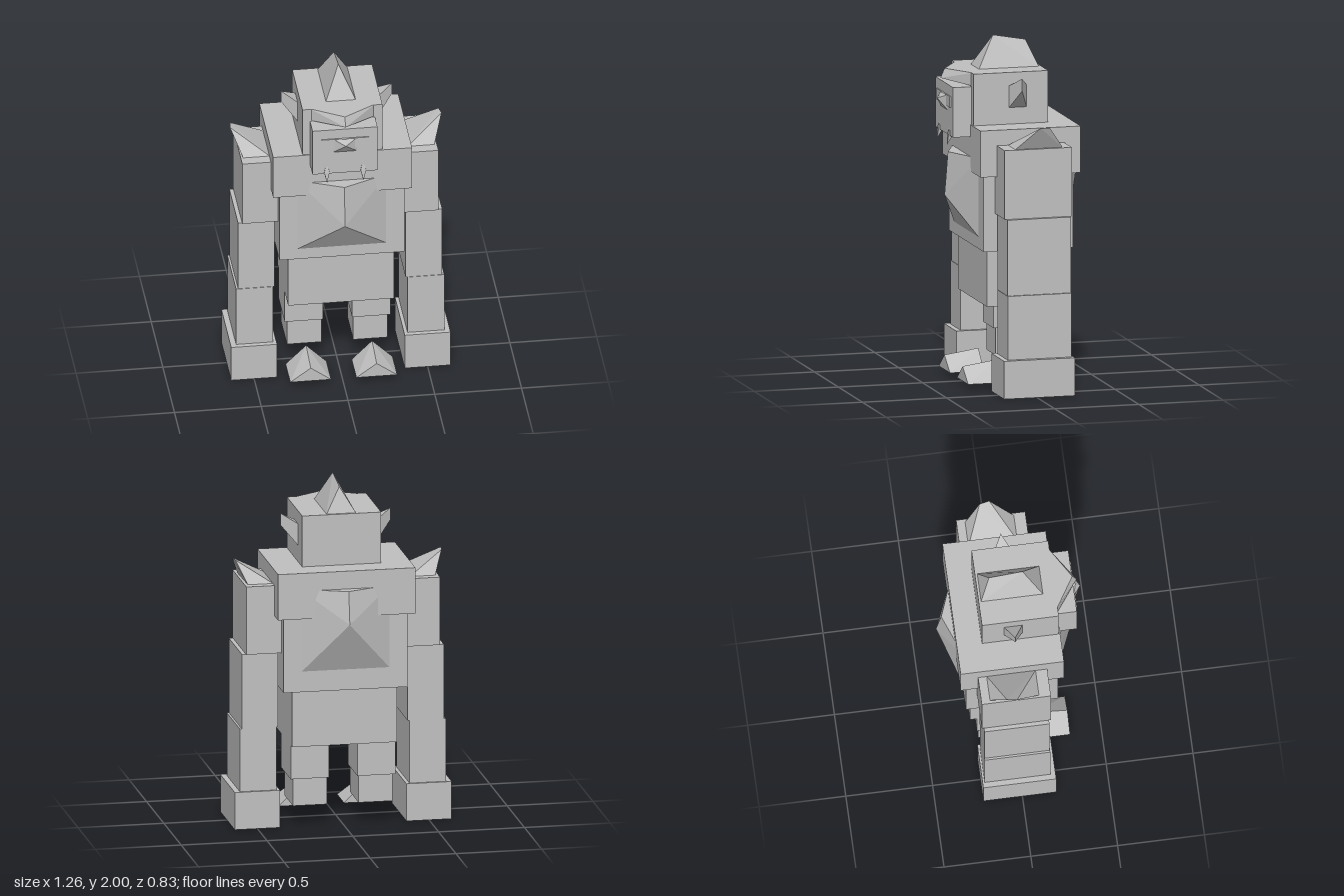
import * as THREE from 'three';
import { ConvexGeometry } from 'three/addons/geometries/ConvexGeometry.js';

const stone = new THREE.MeshStandardMaterial({ color: 0xc0c0c0 });
stone.name = 'stone grey';

export function createModel() {
  const model = new THREE.Group();
  model.name = 'stoneGolem';

  const add = (name, geometry) => {
    const mesh = new THREE.Mesh(geometry, stone);
    mesh.name = name;
    model.add(mesh);
  };

  // Box given by its low and high limits on each axis
  const box = (name, [x0, x1], [y0, y1], [z0, z1]) => {
    const g = new THREE.BoxGeometry(x1 - x0, y1 - y0, z1 - z0);
    add(name, g.translate((x0 + x1) / 2, (y0 + y1) / 2, (z0 + z1) / 2));
  };

  // Faceted block around a few corner points
  const facet = (name, points) =>
    add(name, new ConvexGeometry(points.map(p => new THREE.Vector3(...p))));

  // Corner points on both sides of the middle plane
  const both = points => points.flatMap(([x, y, z]) => [[x, y, z], [-x, y, z]]);

  // Trunk
  box('shoulders', [-0.4, 0.4], [1.25, 1.52], [-0.325, 0.27]);
  box('torso', [-0.36, 0.36], [0.81, 1.3], [-0.29, 0.24]);
  box('pelvis', [-0.305, 0.305], [0.48, 0.81], [-0.26, 0.205]);
  facet('chestPlate', [
    ...both([[0.265, 0.87, 0.235], [0.265, 1.335, 0.235]]),
    [0, 1.085, 0.37], [0, 1.335, 0.35],
  ]);
  facet('backPlate', [
    ...both([[0.265, 0.92, -0.285], [0.265, 1.415, -0.285]]),
    [0, 1.225, -0.415], [0, 1.415, -0.385],
  ]);

  // Head and face
  box('head', [-0.23, 0.23], [1.5, 1.82], [-0.18, 0.262]);
  box('face', [-0.187, 0.187], [1.45, 1.74], [0.2, 0.372]);
  box('eyeBand', [-0.137, 0.137], [1.615, 1.68], [0.37, 0.379]);
  facet('brow', [
    ...both([[0.187, 1.82, 0.255], [0.187, 1.743, 0.255]]),
    [0, 1.82, 0.37], [0, 1.765, 0.395],
  ]);
  facet('nose', [
    ...both([[0.075, 1.68, 0.368], [0.075, 1.585, 0.368]]),
    [0, 1.68, 0.388], [0, 1.65, 0.415],
  ]);
  facet('crest', [
    ...both([[0.088, 1.815, 0.193], [0.088, 1.815, -0.168]]),
    [0, 2, 0.083], [0, 1.965, -0.11],
  ]);

  // Paired parts, left and right
  for (const s of [1, -1]) {
    const span = (a, b) => (s > 0 ? [a, b] : [-b, -a]);
    const side = s > 0 ? 'left' : 'right';
    const flip = points => points.map(([x, y, z]) => [s * x, y, z]);

    facet(side + 'Ear', flip([
      [0.225, 1.61, 0.055], [0.225, 1.61, -0.055],
      [0.225, 1.74, 0.055], [0.225, 1.74, -0.055],
      [0.32, 1.795, 0], [0.32, 1.725, 0],
    ]));
    facet(side + 'Fang', flip([
      [0.105, 1.53, 0.365], [0.105, 1.395, 0.385],
      [0.088, 1.46, 0.35], [0.122, 1.46, 0.35],
      [0.09, 1.46, 0.379], [0.12, 1.46, 0.379],
    ]));

    // Arm
    box(side + 'UpperArm', span(0.34, 0.565), [1.03, 1.43], [-0.225, 0.173]);
    box(side + 'Elbow', span(0.377, 0.588), [0.59, 1.03], [-0.213, 0.162]);
    box(side + 'Forearm', span(0.388, 0.6), [0.22, 0.59], [-0.213, 0.165]);
    box(side + 'Fist', span(0.368, 0.632), [0, 0.22], [-0.225, 0.195]);
    facet(side + 'ShoulderSpike', flip([
      [0.395, 1.428, 0.108], [0.395, 1.428, -0.177],
      [0.55, 1.428, 0.108], [0.545, 1.428, -0.177],
      [0.61, 1.558, -0.028], [0.6, 1.555, -0.085],
    ]));

    // Leg and loose wedge-shaped foot
    box(side + 'Thigh', span(0.083, 0.305), [0.28, 0.48], [-0.22, 0.055]);
    box(side + 'Shin', span(0.092, 0.29), [0.12, 0.28], [-0.21, 0.04]);
    facet(side + 'Foot', flip([
      [0.073, 0.035, 0.317], [0.308, 0.035, 0.317], [0.19, 0.12, 0.317],
      [0.073, 0.035, 0.115], [0.308, 0.035, 0.115], [0.19, 0.15, 0.115],
    ]));
  }

  return model;
}
